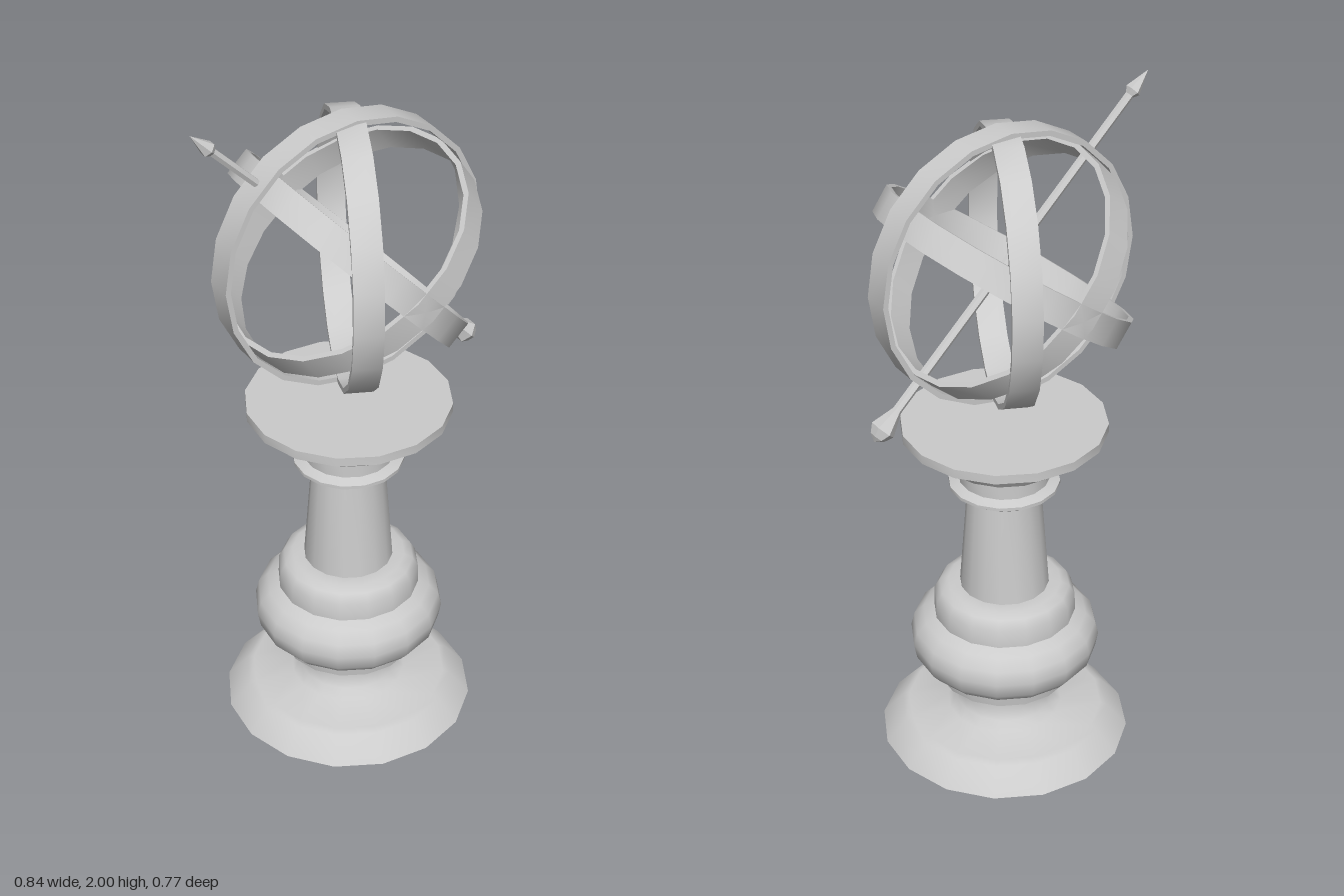
import * as THREE from 'three';
import { toCreasedNormals } from 'three/addons/utils/BufferGeometryUtils.js';

const grey = new THREE.MeshStandardMaterial({ color: 0xcccccc, side: THREE.DoubleSide });
const UP = new THREE.Vector3(0, 1, 0);
const deg = THREE.MathUtils.degToRad;

// Turned part from [radius, height] pairs; axis points along the given direction
function turned(name, profile, sides, crease, axis = UP) {
  const points = profile.map(([r, y]) => new THREE.Vector2(r, y));
  const geometry = toCreasedNormals(new THREE.LatheGeometry(points, sides), crease);
  const mesh = new THREE.Mesh(geometry, grey);
  mesh.name = name;
  mesh.quaternion.setFromUnitVectors(UP, axis.clone().normalize());
  return mesh;
}

// Flat band bent into a hoop around the given axis
function hoop(name, outer, axis) {
  const inner = outer - 0.015, h = 0.04;
  const profile = [[inner, -h], [outer, -h], [outer, h], [inner, h], [inner, -h]];
  return turned(name, profile, 20, 0.6, axis);
}

export function createModel() {
  const model = new THREE.Group();
  model.name = 'armillarySundial';

  // Baluster pedestal, hollow underneath
  const pedestal = turned('pedestal', [
    [0.37, 0], [0.31, 0.07], [0.29, 0.078], [0.17, 0.082],
    [0.145, 0.105], [0.132, 0.135], [0.135, 0.18],
    [0.175, 0.188], [0.2, 0.205], [0.205, 0.245],
    [0.245, 0.265], [0.27, 0.295], [0.278, 0.34], [0.268, 0.38], [0.24, 0.41],
    [0.208, 0.425], [0.206, 0.48], [0.19, 0.508], [0.165, 0.52],
    [0.13, 0.52], [0.106, 0.838],
    [0.13, 0.842], [0.159, 0.862], [0.159, 0.872], [0.13, 0.882], [0.13, 0.955],
    [0.183, 0.958], [0.235, 1.037], [0.292, 1.039], [0.292, 1.066], [0, 1.066],
  ], 16, 0.75);
  pedestal.position.x = 0.02;
  model.add(pedestal);

  // Globe of hoops, turned about the vertical
  const globe = new THREE.Group();
  globe.name = 'globe';
  globe.position.set(0.02, 1.545, 0);
  globe.rotation.y = deg(15);
  const tilted = (a) => new THREE.Vector3(Math.sin(deg(a)), Math.cos(deg(a)), 0);
  globe.add(
    hoop('meridianHoop', 0.393, new THREE.Vector3(0, 0, 1)),
    hoop('crossHoop', 0.385, new THREE.Vector3(Math.cos(deg(23.5)), 0, Math.sin(deg(23.5)))),
    hoop('steepHoop', 0.375, tilted(46)),
    hoop('shallowHoop', 0.375, tilted(-35)),
  );

  // Arrow through the globe: flared tail, thin shaft, pointed head
  globe.add(turned('arrow', [
    [0, -0.585], [0.022, -0.57], [0.036, -0.545], [0.013, -0.48],
    [0.012, 0.56], [0.022, 0.575], [0, 0.643],
  ], 6, 0.3, tilted(-45)));
  model.add(globe);

  return model;
}
